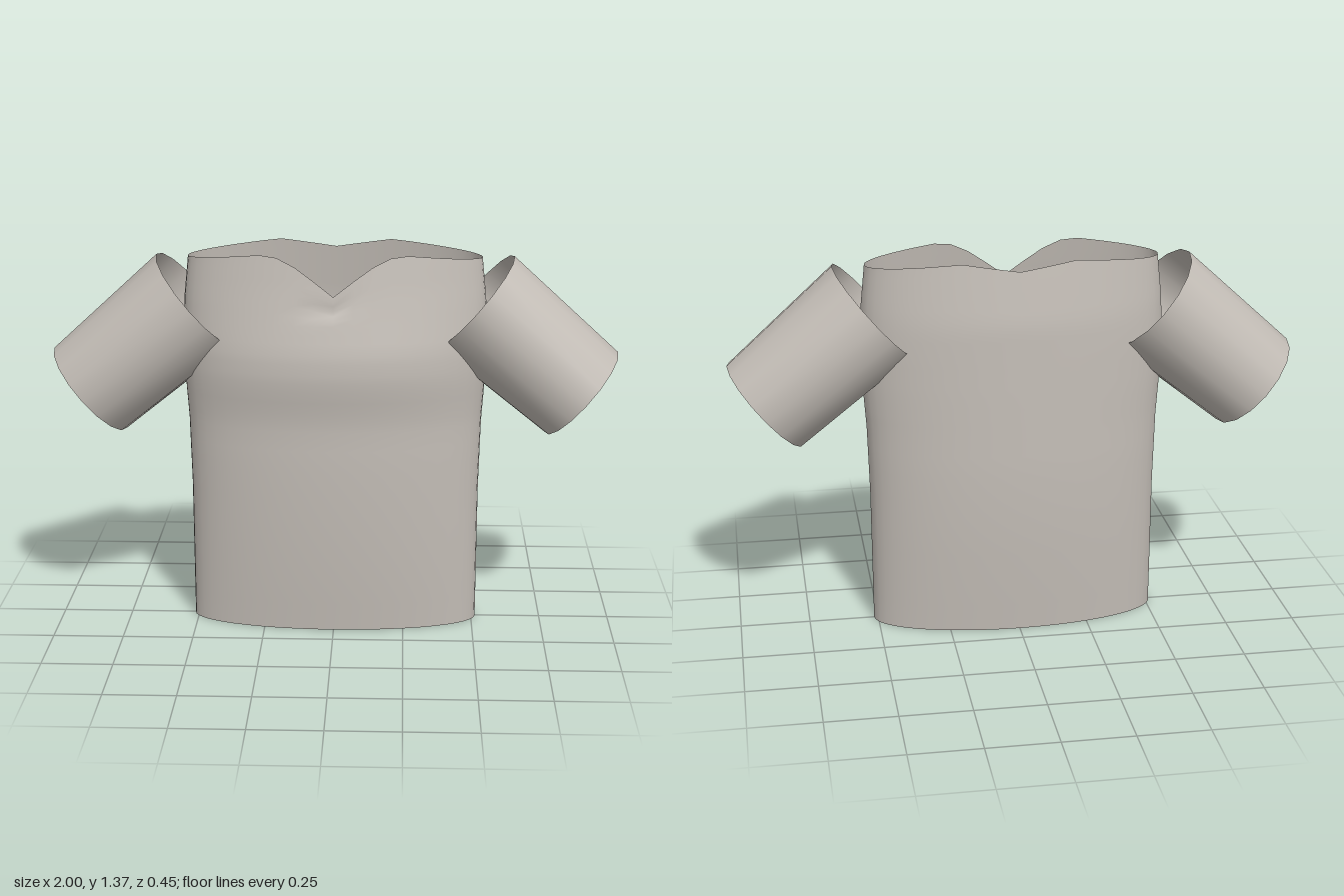
import * as THREE from 'three';

// Piecewise-linear lookup in a short list of [key, value] points
function sample(points, k) {
  if (k <= points[0][0]) return points[0][1];
  for (let i = 1; i < points.length; i++) {
    const [k0, v0] = points[i - 1], [k1, v1] = points[i];
    if (k <= k1) return v0 + (v1 - v0) * (k - k0) / (k1 - k0);
  }
  return points[points.length - 1][1];
}

// Open tube: rows of closed rings, wrapped without a seam so normals stay smooth
function loft(cols, rows, pointAt) {
  const pos = [], index = [];
  for (let j = 0; j <= rows; j++) {
    for (let i = 0; i < cols; i++) {
      pos.push(...pointAt(i / cols * Math.PI * 2, j));
      if (j === rows) continue;
      const a = j * cols + i, b = j * cols + (i + 1) % cols;
      index.push(a, b, b + cols, a, b + cols, a + cols);
    }
  }
  const geo = new THREE.BufferGeometry();
  geo.setAttribute('position', new THREE.Float32BufferAttribute(pos, 3));
  geo.setIndex(index);
  geo.computeVertexNormals();
  return geo;
}

// Torso silhouettes by height: half width, front depth, back depth
const HALF_WIDTH = [[0, 0.515], [0.5, 0.516], [0.75, 0.522], [0.9, 0.532], [1.05, 0.538], [1.2, 0.53], [1.37, 0.512]];
const FRONT = [[0, 0.16], [0.2, 0.178], [0.4, 0.191], [0.6, 0.199], [0.75, 0.2], [0.82, 0.207], [0.9, 0.22],
  [0.96, 0.225], [1.03, 0.221], [1.1, 0.207], [1.17, 0.193], [1.25, 0.178], [1.37, 0.16]];
const BACK = [[0, 0.175], [0.2, 0.191], [0.4, 0.204], [0.6, 0.21], [0.9, 0.207], [1.15, 0.203], [1.37, 0.175]];

// Rim height by distance from the centre line: V neck in front, shallow dip behind
const NECK_FRONT = [[0, 1.23], [0.12, 1.322], [0.22, 1.37], [0.512, 1.34]];
const NECK_BACK = [[0, 1.34], [0.1, 1.355], [0.2, 1.37], [0.512, 1.34]];

const ROW_HEIGHTS = [0, 0.1, 0.2, 0.3, 0.4, 0.5, 0.6, 0.68, 0.75, 0.79, 0.82, 0.86, 0.9, 0.93, 0.96, 1.0, 1.03, 1.07, 1.1, 1.13];
const UPPER_ROWS = 6;

function torsoPoint(angle, row) {
  const s = Math.sin(angle), c = Math.cos(angle);
  const last = ROW_HEIGHTS.length - 1;
  let y = ROW_HEIGHTS[Math.min(row, last)];
  if (row > last) {
    const rim = sample(c > 0 ? NECK_FRONT : NECK_BACK, Math.abs(s) * 0.515);
    y += (rim - y) * (row - last) / UPPER_ROWS;
  }
  const x = s * sample(HALF_WIDTH, y);
  let z = c * sample(c > 0 ? FRONT : BACK, y);
  // small fold under the neck point
  if (c > 0) z -= 0.012 * Math.max(0, 1 - Math.abs(x + 0.02) / 0.1) * Math.max(0, 1 - Math.abs(y - 1.18) / 0.035);
  return [x, y, z];
}

// Sleeve end rings: upper and lower corner plus depth
const SLEEVE_INNER = { top: [0.627, 1.34], low: [0.355, 1.02], depth: 0.213, z: -0.008 };
const SLEEVE_OUTER = { top: [1.0, 1.0], low: [0.75, 0.705], depth: 0.194, z: -0.005 };

function sleeveGeometry(side) {
  return loft(16, 1, (angle, row) => {
    const ring = row ? SLEEVE_OUTER : SLEEVE_INNER;
    const t = (1 + Math.cos(angle)) / 2;
    return [
      side * (ring.low[0] + (ring.top[0] - ring.low[0]) * t),
      ring.low[1] + (ring.top[1] - ring.low[1]) * t,
      ring.z + side * Math.sin(angle) * ring.depth,
    ];
  });
}

export function createModel() {
  const group = new THREE.Group();
  group.name = 'shirt';
  const fabric = new THREE.MeshStandardMaterial({ color: 0xc4beb7, side: THREE.DoubleSide });
  fabric.name = 'warm grey fabric';

  const add = (name, geometry) => {
    const mesh = new THREE.Mesh(geometry, fabric);
    mesh.name = name;
    group.add(mesh);
  };

  add('torso', loft(48, ROW_HEIGHTS.length - 1 + UPPER_ROWS, torsoPoint));
  add('leftSleeve', sleeveGeometry(1));
  add('rightSleeve', sleeveGeometry(-1));
  return group;
}
